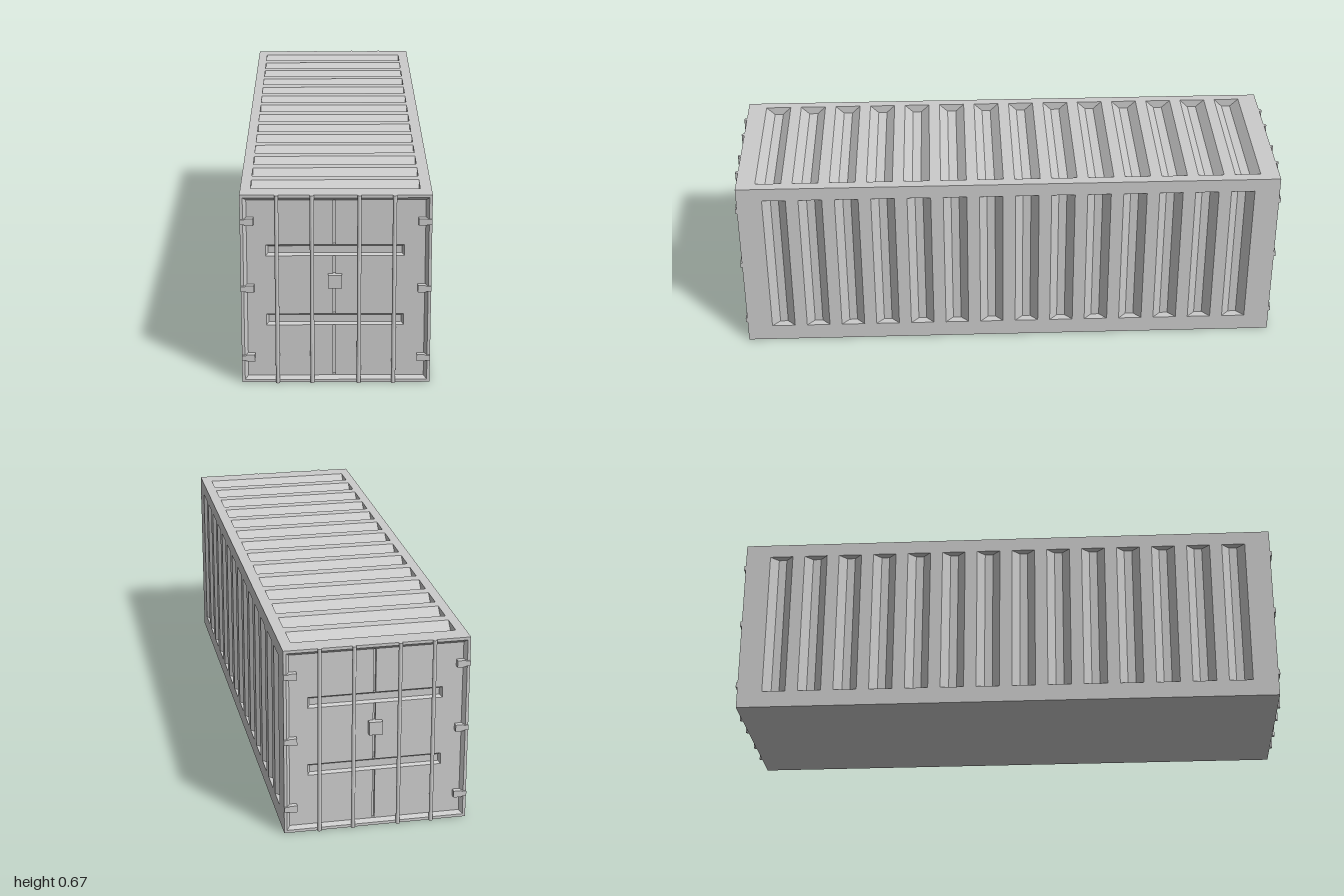
import * as THREE from 'three';

const W = 0.318, H = 0.67, BODY = 0.99, END = 0.96, SKIN = 0.033, DEPTH = 0.03;
const mat = new THREE.MeshStandardMaterial({ color: 0xcccccc, flatShading: true });

function add(parent, name, geometry) {
  const mesh = new THREE.Mesh(geometry, mat);
  mesh.name = name;
  parent.add(mesh);
  return mesh;
}

// Box given by its limits
function box(x0, x1, y0, y1, z0, z1) {
  return new THREE.BoxGeometry(x1 - x0, y1 - y0, z1 - z0)
    .translate((x0 + x1) / 2, (y0 + y1) / 2, (z0 + z1) / 2);
}

// Surface through nested rectangles [x0, x1, y0, y1, z]; the last may be closed
function nestedRects(rects, closed) {
  const pos = [], idx = [];
  for (const [x0, x1, y0, y1, z] of rects) pos.push(x0, y0, z, x1, y0, z, x1, y1, z, x0, y1, z);
  for (let r = 0; r < rects.length - 1; r++) {
    for (let i = 0; i < 4; i++) {
      const a = r * 4 + i, b = r * 4 + (i + 1) % 4;
      idx.push(a, b, b + 4, a, b + 4, a + 4);
    }
  }
  const n = (rects.length - 1) * 4;
  if (closed) idx.push(n, n + 1, n + 2, n, n + 2, n + 3);
  const g = new THREE.BufferGeometry();
  g.setAttribute('position', new THREE.Float32BufferAttribute(pos, 3));
  g.setIndex(idx);
  g.computeVertexNormals();
  return g;
}

// Corrugated panel lying flat: outer face at y = 0, grooves run along x
function corrugatedPanel(name, half, g0, g1, pitch, width) {
  const panel = new THREE.Group();
  panel.name = name;
  const count = 14, slope = width * 0.33;
  const start = -((count - 1) * pitch + width) / 2;
  const shape = new THREE.Shape();
  shape.moveTo(-END, -SKIN);
  shape.lineTo(END, -SKIN);
  shape.lineTo(END, 0);
  for (let i = count - 1; i >= 0; i--) {
    const u = start + i * pitch;
    shape.lineTo(u + width, 0);
    shape.lineTo(u + width - slope, -DEPTH);
    shape.lineTo(u + slope, -DEPTH);
    shape.lineTo(u, 0);
  }
  shape.lineTo(-END, 0);
  shape.closePath();
  const sheet = new THREE.ExtrudeGeometry(shape, { depth: g1 - g0, bevelEnabled: false });
  add(panel, 'corrugatedSheet', sheet.rotateY(Math.PI / 2).translate(g0, 0, 0));
  add(panel, 'railA', box(-half, g0, -SKIN, 0, -END, END));
  add(panel, 'railB', box(g1, half, -SKIN, 0, -END, END));
  return panel;
}

function rectPath(x0, x1, y0, y1) {
  const p = new THREE.Path();
  p.moveTo(x0, y0);
  p.lineTo(x0, y1);
  p.lineTo(x1, y1);
  p.lineTo(x1, y0);
  p.closePath();
  return p;
}

// One end of the container, facing +z
function doorEnd(name) {
  const end = new THREE.Group();
  end.name = name;
  const face = 0.977, floor = 0.965;
  const ring = (d, z) => [-W + d, W - d, d, H - d, z];
  add(end, 'doorFrame', nestedRects(
    [ring(0, END), ring(0, BODY), ring(0.01, BODY), ring(0.021, face)], false));

  // Door face with two long slots and the middle seam cut out
  const m = 0.021;
  const shape = new THREE.Shape([
    new THREE.Vector2(-W + m, m), new THREE.Vector2(W - m, m),
    new THREE.Vector2(W - m, H - m), new THREE.Vector2(-W + m, H - m)]);
  for (const [y0, y1] of [[0.205, 0.245], [0.453, 0.492]]) {
    shape.holes.push(rectPath(-0.234, 0.228, y0, y1));
    add(end, 'doorSlot', nestedRects([
      [-0.234, 0.228, y0, y1, face], [-0.226, 0.22, y0 + 0.007, y1 - 0.008, floor]], true));
  }
  for (const [y0, y1] of [[0.023, 0.204], [0.246, 0.452], [0.493, 0.648]]) {
    shape.holes.push(rectPath(-0.01, -0.002, y0, y1));
    add(end, 'doorSeam', nestedRects([
      [-0.01, -0.002, y0, y1, face], [-0.01, -0.002, y0, y1, floor]], true));
  }
  add(end, 'doorFace', new THREE.ShapeGeometry(shape).translate(0, 0, face));

  // Locking bars, lock box and hinges
  for (const x of [-0.197, -0.08, 0.077, 0.194]) {
    add(end, 'lockingBar', new THREE.CylinderGeometry(0.007, 0.007, H, 12)
      .translate(x, H / 2, 0.993));
  }
  add(end, 'lockBox', box(-0.027, 0.02, 0.343, 0.39, 0.97, 0.996));
  for (const side of [-1, 1]) {
    for (const y of [0.091, 0.341, 0.577]) {
      const hinge = new THREE.Shape();
      [[0.273, -0.012], [0.298, -0.012], [0.304, -0.009], [W, -0.009],
        [W, 0.009], [0.304, 0.009], [0.298, 0.012], [0.273, 0.012]]
        .forEach(([x, v], i) => hinge[i ? 'lineTo' : 'moveTo'](side * x, y + v));
      add(end, 'hinge', new THREE.ExtrudeGeometry(hinge, { depth: 0.026, bevelEnabled: false })
        .translate(0, 0, 0.97));
    }
  }
  return end;
}

export function createModel() {
  const model = new THREE.Group();
  model.name = 'shippingContainer';

  // Inner body with the flat floor
  add(model, 'innerBody', box(-W + SKIN, W - SKIN, 0, H - SKIN, -END, END));
  add(model, 'floorEnds', box(-W, W, 0, 0.009, -BODY + 0.001, BODY - 0.001));

  // Roof
  const roof = corrugatedPanel('roof', W, -0.284, 0.28, 0.1345, 0.094);
  roof.position.y = H;
  model.add(roof);

  // Side walls and door ends, each pair turned half a circle apart
  for (const turn of [0, Math.PI]) {
    const half = new THREE.Group();
    half.name = turn ? 'backAndRight' : 'frontAndLeft';
    const wall = corrugatedPanel('sideWall', H / 2, -0.285, 0.273, 0.1315, 0.086);
    wall.rotation.z = -Math.PI / 2;
    wall.position.set(W, H / 2, 0);
    half.add(wall, doorEnd('doorEnd'));
    half.rotation.y = turn;
    model.add(half);
  }
  return model;
}
